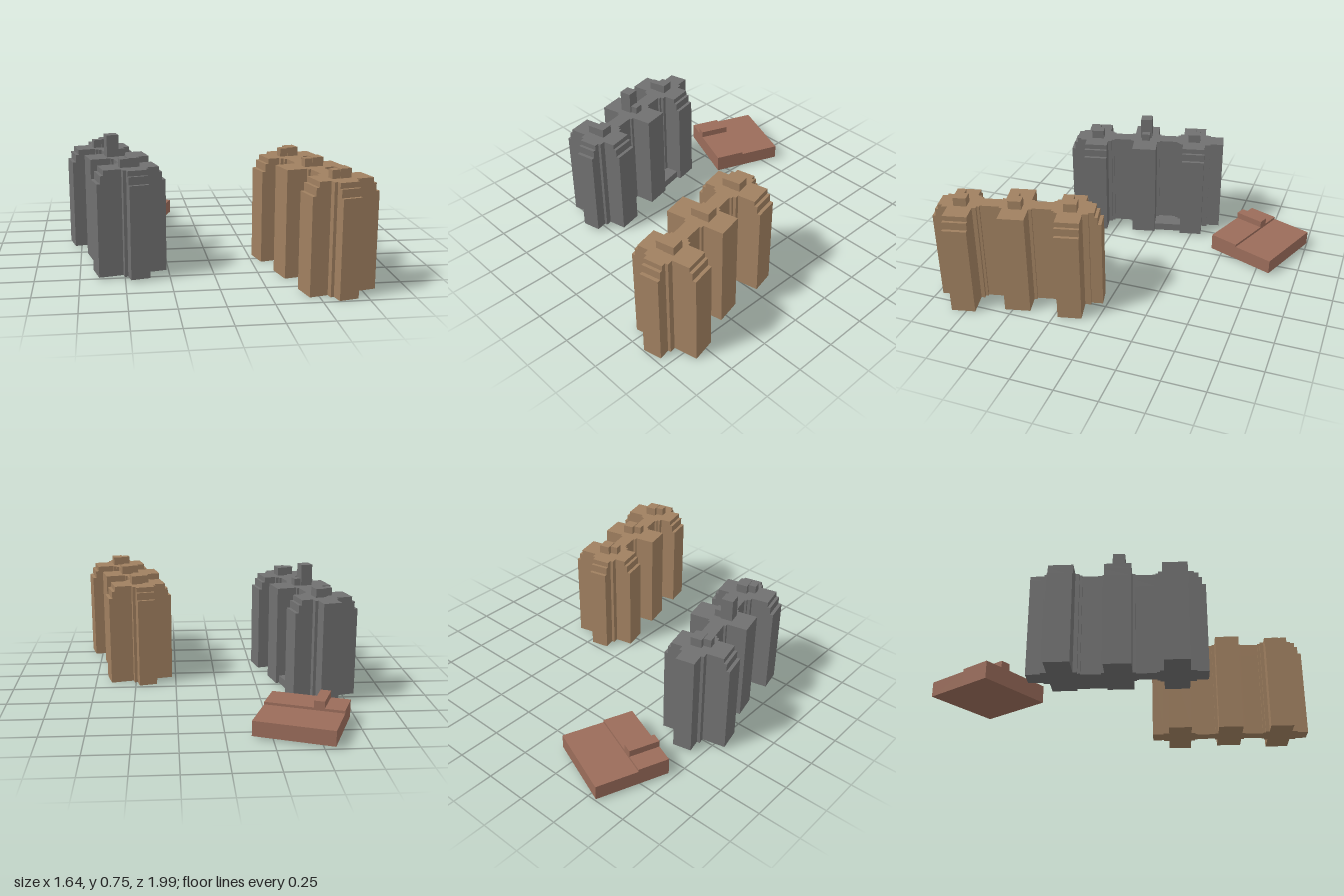
import * as THREE from 'three';

const material = (color) => new THREE.MeshStandardMaterial({ color, flatShading: true });

function addBox(parent, name, mat, [w, d], [x, z], y0, y1) {
  const mesh = new THREE.Mesh(new THREE.BoxGeometry(w, y1 - y0, d), mat);
  mesh.name = name;
  mesh.position.set(x, (y0 + y1) / 2, z);
  parent.add(mesh);
  return mesh;
}

// Footprint of three cross-shaped towers joined by a spine along z.
// Each band is [z start, left x, right x]; inset pulls in the stepped ends.
function footprint(offset, inset, northEnd, northStepped) {
  const sym = (z, h) => [z, -h, h];
  const wing = (z) => [z, offset - 0.195 + inset, offset + 0.195 - inset];
  const bands = [
    sym(-northEnd + (northStepped ? inset : 0), 0.055),
    sym(-0.418, 0.073), wing(-0.383), sym(-0.243, 0.073), sym(-0.22, 0.055), sym(-0.205, 0.042),
    sym(-0.093, 0.055), sym(-0.075, 0.173), sym(0.075, 0.055), sym(0.093, 0.042),
    sym(0.205, 0.055), sym(0.22, 0.073), wing(0.243), sym(0.383, 0.073), sym(0.418, 0.055),
  ];
  const left = [], right = [];
  bands.forEach(([z, l, r], i) => {
    const end = i + 1 < bands.length ? bands[i + 1][0] : 0.483 - inset;
    right.push(new THREE.Vector2(r, -z), new THREE.Vector2(r, -end));
    left.push(new THREE.Vector2(l, -z), new THREE.Vector2(l, -end));
  });
  return new THREE.Shape([...right, ...left.reverse()]);
}

function apartmentBlock(name, mat, { base, offset, northEnd, northStepped }) {
  const block = new THREE.Group();
  block.name = name;
  // Full-height walls, then two setbacks at the wing ends
  const tiers = [[base, 0.542, 0, 'walls'], [0.542, 0.587, 0.02, 'lowerSetback'], [0.587, 0.617, 0.038, 'upperSetback']];
  for (const [y0, y1, inset, part] of tiers) {
    const geometry = new THREE.ExtrudeGeometry(footprint(offset, inset, northEnd, northStepped),
      { depth: y1 - y0, bevelEnabled: false });
    geometry.rotateX(-Math.PI / 2);
    const mesh = new THREE.Mesh(geometry, mat);
    mesh.name = part;
    mesh.position.y = y0;
    block.add(mesh);
  }
  return block;
}

// Rooftop plant room: a main box with a smaller one beside it
function addRoofHouse(block, mat, x, z) {
  addBox(block, 'roofHouse', mat, [0.065, 0.075], [x + 0.018, z], 0.617, 0.668);
  addBox(block, 'roofHouseAnnex', mat, [0.045, 0.045], [x - 0.037, z + 0.012], 0.617, 0.664);
}

export function createModel() {
  const model = new THREE.Group();
  model.name = 'housingEstate';
  const tan = material(0xa08060);
  const grey = material(0x707070);
  const terracotta = material(0x9a6c5a);

  // Tan block
  const tanBlock = apartmentBlock('tanBlock', tan, { base: 0, offset: 0.018, northEnd: 0.486, northStepped: true });
  for (const z of [-0.313, 0, 0.313]) addRoofHouse(tanBlock, tan, z ? 0.01 : 0.012, z);
  tanBlock.position.set(0.532, 0, 0.511);
  tanBlock.rotation.y = 0.23;
  model.add(tanBlock);

  // Grey block with chimney and a low annex against the spine
  const greyBlock = apartmentBlock('greyBlock', grey, { base: 0.013, offset: -0.016, northEnd: 0.5, northStepped: false });
  for (const z of [-0.313, 0.313]) addRoofHouse(greyBlock, grey, -0.01, z);
  addBox(greyBlock, 'chimney', grey, [0.07, 0.07], [-0.03, 0], 0.617, 0.745);
  addBox(greyBlock, 'roofHatch', grey, [0.04, 0.05], [0.025, 0], 0.617, 0.66);
  addBox(greyBlock, 'lowAnnex', grey, [0.11, 0.168], [0.097, -0.159], 0.013, 0.06);
  greyBlock.position.set(-0.525, 0, 0.0975);
  greyBlock.rotation.y = 0.23;
  model.add(greyBlock);

  // Low terracotta building: two flat roofs and a raised strip
  const hall = new THREE.Group();
  hall.name = 'lowHall';
  addBox(hall, 'mainHall', terracotta, [0.451, 0.252], [0, -0.0915], 0.013, 0.1);
  addBox(hall, 'frontWing', terracotta, [0.451, 0.183], [0, 0.126], 0.013, 0.115);
  addBox(hall, 'raisedStrip', terracotta, [0.06, 0.183], [-0.084, 0.126], 0.115, 0.155);
  hall.position.set(-0.427, 0, -0.715);
  hall.rotation.y = -0.375;
  model.add(hall);

  return model;
}
